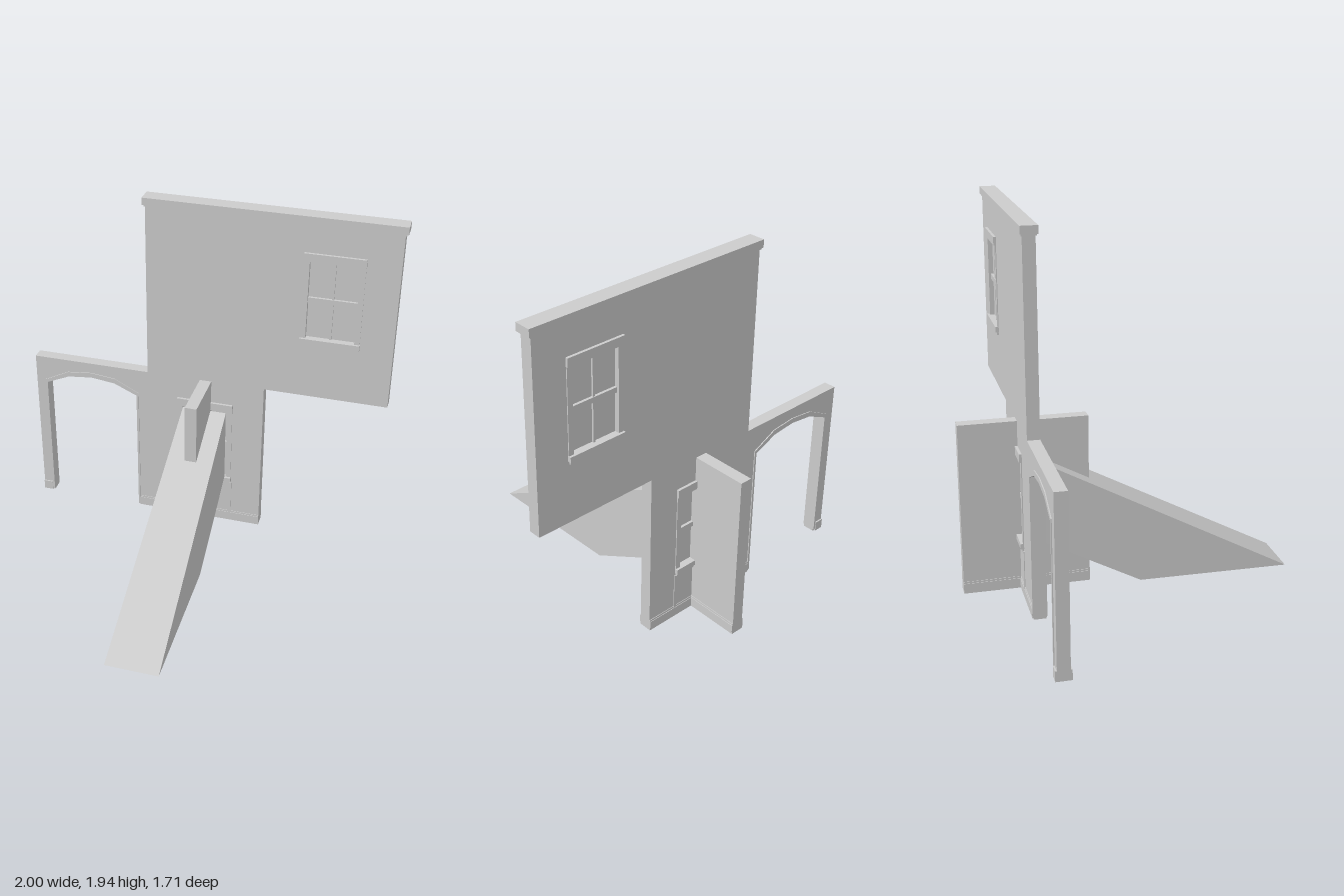
import * as THREE from 'three';

const mat = new THREE.MeshStandardMaterial({ color: 0xcccccc, flatShading: true, side: THREE.DoubleSide });
const WALL_Z = -0.528, HALF = 0.032;

function add(parent, name, geo) {
  const m = new THREE.Mesh(geo, mat);
  m.name = name;
  parent.add(m);
  return m;
}

// Box given by its limits
function box(parent, name, x0, x1, y0, y1, z0, z1) {
  const m = add(parent, name, new THREE.BoxGeometry(x1 - x0, y1 - y0, z1 - z0));
  m.position.set((x0 + x1) / 2, (y0 + y1) / 2, (z0 + z1) / 2);
  return m;
}

// Box centred on the thickness of the main wall
const wallBox = (parent, name, x0, x1, y0, y1, half) =>
  box(parent, name, x0, x1, y0, y1, WALL_Z - half, WALL_Z + half);

const shapeOf = pts => new THREE.Shape(pts.map(p => new THREE.Vector2(...p)));

// Flat outline extruded through the main wall
function slab(parent, name, shape, half) {
  const geo = new THREE.ExtrudeGeometry(shape, { depth: 2 * half, bevelEnabled: false });
  return add(parent, name, geo.translate(0, 0, WALL_Z - half));
}

// Arch curve, running from the left foot to the right foot
const archInner = [[-0.936, 0], [-0.936, 0.752], [-0.805, 0.81], [-0.67, 0.825], [-0.535, 0.81], [-0.404, 0.752], [-0.404, 0]];
const archOuter = [[-0.948, 0.012], [-0.948, 0.768], [-0.808, 0.838], [-0.67, 0.853], [-0.532, 0.838], [-0.392, 0.768], [-0.392, 0.012]];

const windows = [[0.655, 1.217], [-0.007, 0.257]]; // centre x, bottom y

function windowUnit(cx, y) {
  const g = new THREE.Group();
  g.name = 'window';
  const bar = (n, x0, x1, y0, y1, h) => wallBox(g, n, cx + x0, cx + x1, y + y0, y + y1, h);
  bar('pane', -0.14, 0.14, 0.03, 0.49, 0.012);
  for (const s of [-1, 1]) {
    bar('casing', s * 0.142 - 0.014, s * 0.142 + 0.014, 0.04, 0.48, 0.037);
  }
  bar('head', -0.158, 0.158, 0.48, 0.524, 0.046);
  bar('sill', -0.158, 0.158, 0.016, 0.044, 0.05);
  bar('apron', -0.152, 0.152, 0, 0.016, 0.041);
  bar('mullion', -0.005, 0.005, 0.04, 0.48, 0.022);
  bar('meetingRail', -0.13, 0.13, 0.247, 0.274, 0.026);
  return g;
}

function buildRamp() {
  const g = new THREE.Group();
  g.name = 'ramp';
  const outline = [[0.855, 0.015], [-0.485, 0.73], [-0.485, 0.3], [0.055, 0.015]];
  // Thin deck, back and sloping underside, open towards the ground
  const shell = [...outline, [0.085, 0.015], [-0.473, 0.31], [-0.473, 0.71], [0.825, 0.015]];
  const plate = (name, pts, u0, u1) => {
    const geo = new THREE.ExtrudeGeometry(shapeOf(pts), { depth: u1 - u0, bevelEnabled: false });
    geo.translate(0, 0, u0).rotateY(-Math.PI / 2);
    // Widen towards the foot
    const p = geo.attributes.position;
    for (let i = 0; i < p.count; i++) {
      const t = (p.getZ(i) + 0.485) / 1.34;
      p.setX(i, -0.0075 + p.getX(i) * (0.1225 + 0.02 * t));
    }
    geo.computeVertexNormals();
    add(g, name, geo);
  };
  plate('rampDeck', shell, -0.9, 0.9);
  plate('rampSide', outline, -1, -0.9);
  plate('rampSide', outline, 0.9, 1);
  return g;
}

export function createModel() {
  const model = new THREE.Group();
  model.name = 'steppedWall';

  // Main wall with the archway in its outline and two window openings
  const wall = shapeOf([
    [-1, 0], ...archInner, [0.32, 0], [0.32, 0.912], [0.985, 0.912],
    [0.985, 1.9], [-0.337, 1.9], [-0.337, 0.912], [-1, 0.912],
  ]);
  for (const [cx, y] of windows) {
    const hole = new THREE.Path();
    const [a, b, c, d] = [cx - 0.13, cx + 0.13, y + 0.035, y + 0.49];
    hole.moveTo(a, c).lineTo(a, d).lineTo(b, d).lineTo(b, c).closePath();
    wall.holes.push(hole);
    model.add(windowUnit(cx, y));
  }
  slab(model, 'mainWall', wall, HALF);

  // Arch surround
  const inner = archInner.map(([x, y]) => [x, Math.max(y, 0.012)]);
  slab(model, 'archTrim', shapeOf([...archOuter, ...inner.reverse()]), 0.037);

  // Coping on top of the upper wall
  wallBox(model, 'copingBed', -0.343, 0.991, 1.888, 1.9, 0.037);
  wallBox(model, 'coping', -0.35, 1, 1.897, 1.937, 0.043);

  // Cross wall through the lower storey
  box(model, 'crossWall', -0.038, 0.027, 0, 0.912, -0.858, -0.196);

  // Skirting round the foot of both walls
  for (const [y0, y1, d] of [[0, 0.014, 0.004], [0.014, 0.054, 0.006], [0.054, 0.064, 0.003]]) {
    wallBox(model, 'skirting', -0.392, 0.32, y0, y1, HALF + d);
    box(model, 'crossSkirting', -0.038 - d, 0.027 + d, y0, y1, -0.858, -0.196);
  }
  wallBox(model, 'pillarFoot', -1, -0.948, 0, 0.054, HALF + 0.008);

  // Strips running from the lower window down to the skirting
  for (const s of [-1, 1]) {
    wallBox(model, 'panelStrip', -0.007 + s * 0.154 - 0.008, -0.007 + s * 0.154 + 0.008, 0.05, 0.26, 0.036);
  }

  model.add(buildRamp());
  return model;
}
